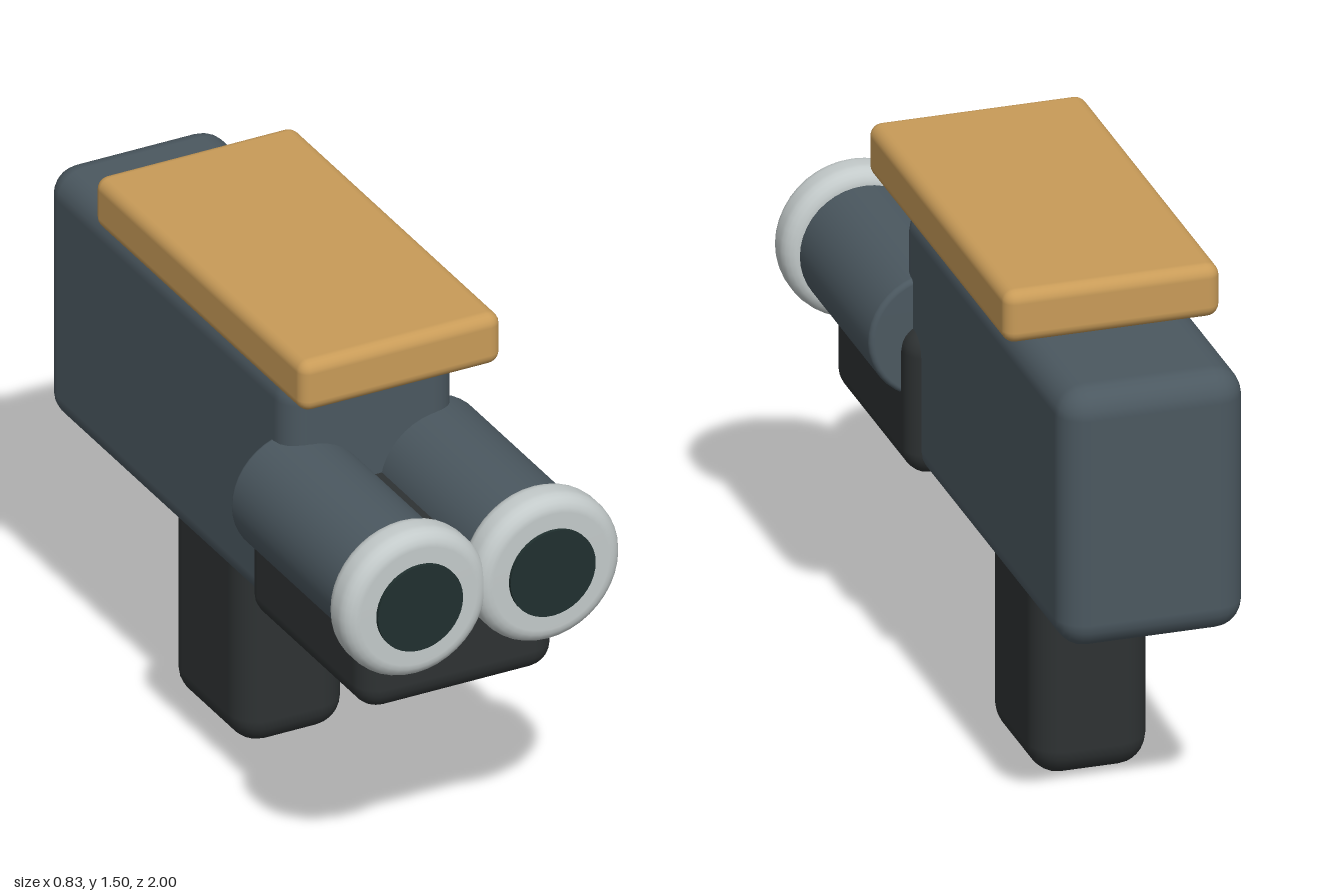
import * as THREE from 'three';
import { RoundedBoxGeometry } from 'three/addons/geometries/RoundedBoxGeometry.js';

const paint = (color) => new THREE.MeshStandardMaterial({ color });

export function createModel() {
  const model = new THREE.Group();
  const slate = paint(0x4b5860);
  const dark = paint(0x2e3233);
  const tan = paint(0xc89b58);
  const silver = paint(0xc3caca);
  const glass = paint(0x20302f);

  // Rounded block given by its [min, max] extents on each axis
  const block = (name, halfX, [y0, y1], [z0, z1], radius, material) => {
    const geometry = new RoundedBoxGeometry(halfX * 2, y1 - y0, z1 - z0, 3, radius);
    const mesh = new THREE.Mesh(geometry, material);
    mesh.name = name;
    mesh.position.set(0, (y0 + y1) / 2, (z0 + z1) / 2);
    model.add(mesh);
  };

  block('body', 0.257, [0.605, 1.355], [-1, 0.37], 0.08, slate);
  block('frontHousing', 0.29, [0.6, 1.02], [0.19, 0.86], 0.07, dark);
  block('handle', 0.162, [0, 0.72], [-0.485, -0.06], 0.085, dark);
  block('trigger', 0.093, [0.435, 0.75], [-0.2, 0.36], 0.09, slate);
  block('topPlate', 0.3, [1.353, 1.505], [-0.64, 0.53], 0.035, tan);

  // Closed disc or tube along z with rounded rims
  const roundedCylinder = (name, radius, z0, z1, bevel, material) => {
    const points = [new THREE.Vector2(0, z0)];
    const steps = 5;
    for (const [z, start] of [[z0 + bevel, -Math.PI / 2], [z1 - bevel, 0]]) {
      for (let i = 0; i <= steps; i++) {
        const a = start + (i / steps) * Math.PI / 2;
        points.push(new THREE.Vector2(radius - bevel + Math.cos(a) * bevel, z + Math.sin(a) * bevel));
      }
    }
    points.push(new THREE.Vector2(0, z1));
    const mesh = new THREE.Mesh(new THREE.LatheGeometry(points, 40).rotateX(Math.PI / 2), material);
    mesh.name = name;
    return mesh;
  };

  // Twin barrels, each with a rim and a dark lens
  for (const side of [-1, 1]) {
    const barrel = new THREE.Group();
    barrel.name = side > 0 ? 'leftBarrel' : 'rightBarrel';
    barrel.position.set(side * 0.198, 0.98, 0);
    const lens = new THREE.Mesh(new THREE.CylinderGeometry(0.127, 0.127, 0.03, 40).rotateX(Math.PI / 2), glass);
    lens.name = 'lens';
    lens.position.z = 0.985;
    barrel.add(
      roundedCylinder('barrelTube', 0.18, 0.27, 0.87, 0.015, slate),
      roundedCylinder('barrelRim', 0.218, 0.87, 0.99, 0.045, silver),
      lens
    );
    model.add(barrel);
  }
  return model;
}
